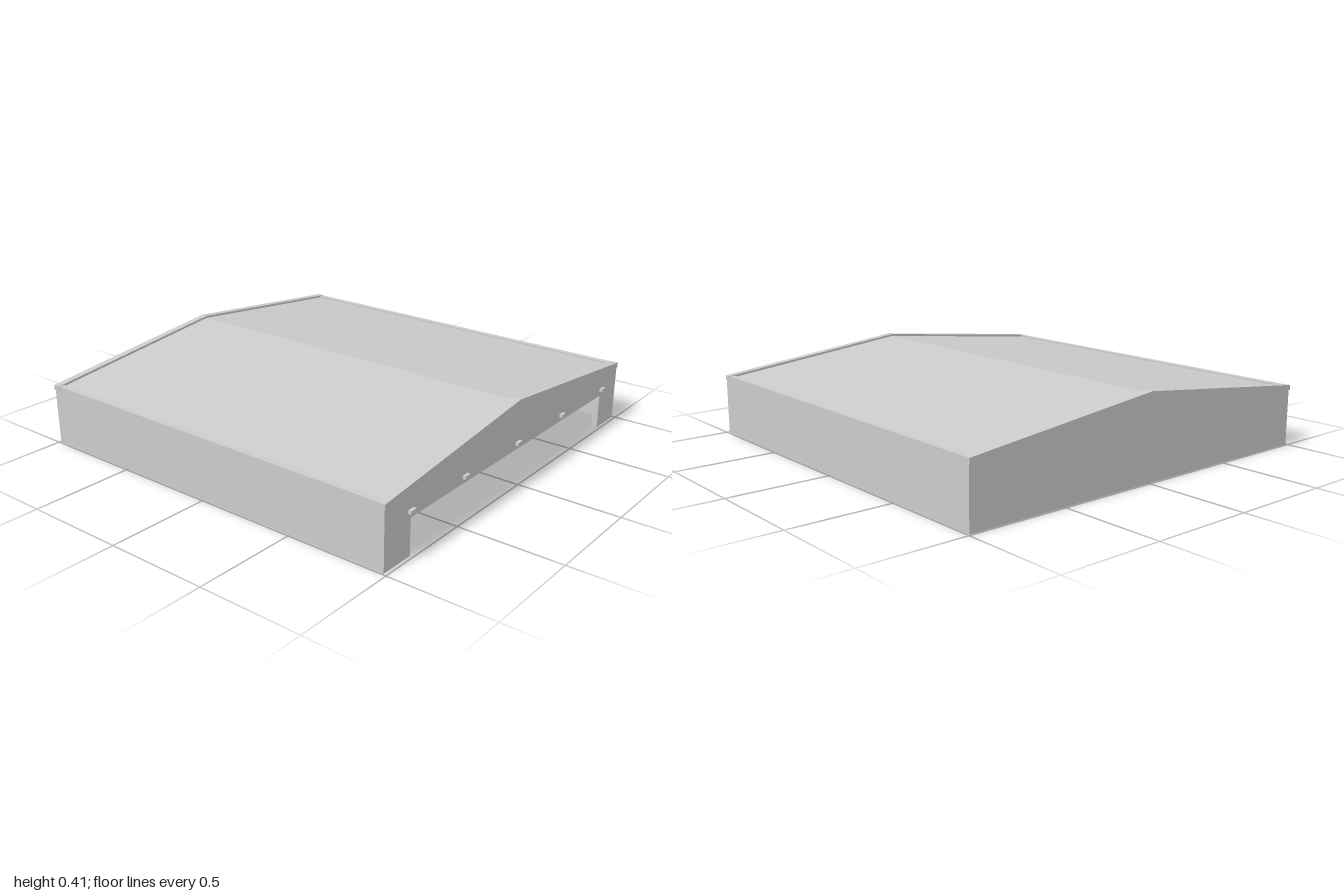
import * as THREE from 'three';

const HALF = 0.993, BACK = -0.993, FRONT = 0.984, WALL = 0.03;
const EAVE = 0.3, RIDGE = 0.41, OPEN_X = 0.82, OPEN_Y = 0.172;
const SLOPE = (RIDGE - EAVE) / HALF;

export function createModel() {
  const group = new THREE.Group();
  const mat = new THREE.MeshStandardMaterial({ color: 0xcccccc, flatShading: true });

  const add = (name, geo, parent = group) => {
    const mesh = new THREE.Mesh(geo, mat);
    mesh.name = name;
    parent.add(mesh);
    return mesh;
  };
  const box = (name, x0, x1, y0, y1, z0, z1, parent) =>
    add(name, new THREE.BoxGeometry(x1 - x0, y1 - y0, z1 - z0), parent)
      .position.set((x0 + x1) / 2, (y0 + y1) / 2, (z0 + z1) / 2);
  // Outline in x and y, extruded from z0 to z1
  const slab = (name, points, z0, z1, parent) => {
    const shape = new THREE.Shape(points.map(([x, y]) => new THREE.Vector2(x, y)));
    const geo = new THREE.ExtrudeGeometry(shape, { depth: z1 - z0, bevelEnabled: false });
    return add(name, geo.translate(0, 0, z0), parent);
  };
  // Band that follows the gable, between two drops below its top line
  const gableBand = (half, top, bottom) => {
    const y = (x, drop) => RIDGE - SLOPE * Math.abs(x) - drop;
    return [
      [-half, y(half, bottom)], [0, y(0, bottom)], [half, y(half, bottom)],
      [half, y(half, top)], [0, y(0, top)], [-half, y(half, top)],
    ];
  };

  // Front wall with the wide opening, and the closed back wall
  slab('frontWall', [
    [-HALF, 0], [-OPEN_X, 0], [-OPEN_X, OPEN_Y], [OPEN_X, OPEN_Y], [OPEN_X, 0], [HALF, 0],
    [HALF, EAVE], [0, RIDGE], [-HALF, EAVE],
  ], FRONT - WALL, FRONT);
  slab('backWall', [[-HALF, 0], [HALF, 0], [HALF, EAVE], [0, RIDGE], [-HALF, EAVE]],
    BACK, BACK + WALL);

  // Side walls
  for (const s of [-1, 1]) {
    const a = s * HALF, b = s * (HALF - WALL);
    box(s > 0 ? 'leftWall' : 'rightWall', Math.min(a, b), Math.max(a, b), 0, EAVE,
      BACK + WALL, FRONT - WALL);
  }

  // Thin pitched roof set just below the rim, with trim along both gables
  slab('roof', gableBand(HALF - WALL, 0.01, 0.025), BACK + WALL, FRONT - WALL);
  slab('frontRoofTrim', gableBand(HALF + 0.002, -0.001, 0.024), FRONT - 0.034, FRONT + 0.004);
  slab('backRoofTrim', gableBand(HALF + 0.002, -0.001, 0.024), BACK - 0.006, BACK + 0.03);

  // Inner truss: post, two braces and a rail, standing against a wall at local z = 0
  const truss = (name, x, z, angle) => {
    const frame = new THREE.Group();
    frame.name = name;
    frame.position.set(x, 0, z);
    frame.rotation.y = angle;
    box('rail', -0.95, 0.95, 0.172, 0.195, 0, 0.018, frame);
    box('post', -0.013, 0.013, 0, 0.172, 0, 0.018, frame);
    for (const s of [-1, 1]) {
      const points = [[0.4, 0], [0.04, 0.165], [0.013, 0.165], [0.373, 0]]
        .map(([px, py]) => [s * px, py]);
      slab('brace', points, 0, 0.014, frame);
    }
    group.add(frame);
  };
  truss('backTruss', 0, BACK + WALL, 0);
  truss('leftTruss', HALF - WALL, 0, -Math.PI / 2);
  truss('rightTruss', -HALF + WALL, 0, Math.PI / 2);

  // Rail over the opening and slim corner posts
  box('frontRail', -0.95, 0.95, 0.175, 0.195, FRONT - WALL - 0.018, FRONT - WALL);
  for (const sx of [-1, 1]) for (const z of [BACK + WALL + 0.009, FRONT - WALL - 0.009]) {
    const x = sx * (HALF - WALL - 0.009);
    box('cornerPost', x - 0.009, x + 0.009, 0, 0.28, z - 0.009, z + 0.009);
  }

  // Small lamps above the opening
  for (const x of [-0.82, -0.43, 0, 0.41, 0.83])
    box('lamp', x - 0.018, x + 0.018, 0.195, 0.211, FRONT, 1);

  return group;
}
